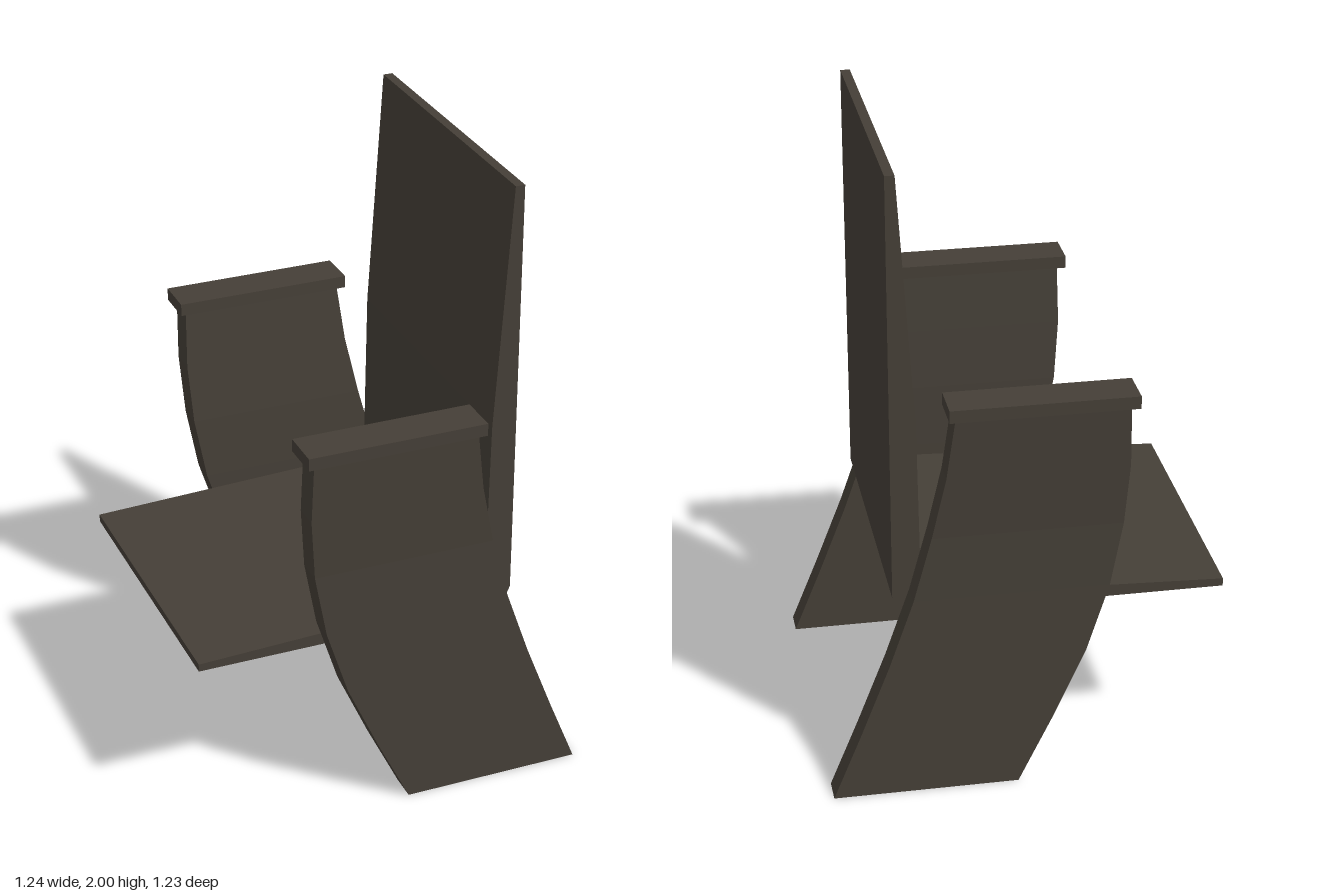
import * as THREE from 'three';

const wood = new THREE.MeshStandardMaterial({ color: 0x453f37, flatShading: true });
wood.name = 'dark wood';

// Side panel cross-sections: height, front edge x, rear edge x, centre distance in z
const ROWS = [
  [0, 0.04, 0.62, 0.528],
  [0.22, -0.067, 0.53, 0.528],
  [0.45, -0.17, 0.44, 0.528],
  [0.67, -0.24, 0.363, 0.528],
  [0.88, -0.279, 0.306, 0.53],
  [1.08, -0.294, 0.262, 0.542],
  [1.28, -0.29, 0.235, 0.554],
];
const PANEL_THICKNESS = 0.086;

function addMesh(parent, name, geometry) {
  const mesh = new THREE.Mesh(geometry, wood);
  mesh.name = name;
  parent.add(mesh);
  return mesh;
}

// A box bent to follow the rows; side is +1 or -1 along z
function sidePanelGeometry(side) {
  const n = ROWS.length - 1;
  const geo = new THREE.BoxGeometry(1, 1, 1, 1, n, 1);
  const pos = geo.attributes.position;
  for (let i = 0; i < pos.count; i++) {
    const [y, front, rear, mid] = ROWS[Math.round((pos.getY(i) + 0.5) * n)];
    const x = pos.getX(i) < 0 ? front : rear;
    pos.setXYZ(i, x, y, side * mid + pos.getZ(i) * PANEL_THICKNESS);
  }
  geo.computeVertexNormals();
  return geo;
}

export function createModel() {
  const chair = new THREE.Group();
  chair.name = 'chair';

  // Seat and tapering backrest share one L-shaped profile
  const profile = new THREE.Shape([
    [-0.62, 0.58], [0.37, 0.58], [0.4, 0.605], [0.415, 0.64],
    [0.415, 2], [0.385, 2], [0.335, 1.22], [0.326, 0.64], [-0.62, 0.605],
  ].map(([x, y]) => new THREE.Vector2(x, y)));
  const shell = new THREE.ExtrudeGeometry(profile, { depth: 0.964, bevelEnabled: false });
  shell.translate(0, 0, -0.482);
  addMesh(chair, 'seatAndBackrest', shell);

  // Curved side panels, each capped by a flat armrest
  for (const [side, label] of [[1, 'left'], [-1, 'right']]) {
    addMesh(chair, label + 'SidePanel', sidePanelGeometry(side));
    const arm = addMesh(chair, label + 'Armrest', new THREE.BoxGeometry(0.57, 0.04, 0.132));
    arm.position.set(-0.029, 1.296, side * 0.55);
  }
  return chair;
}
